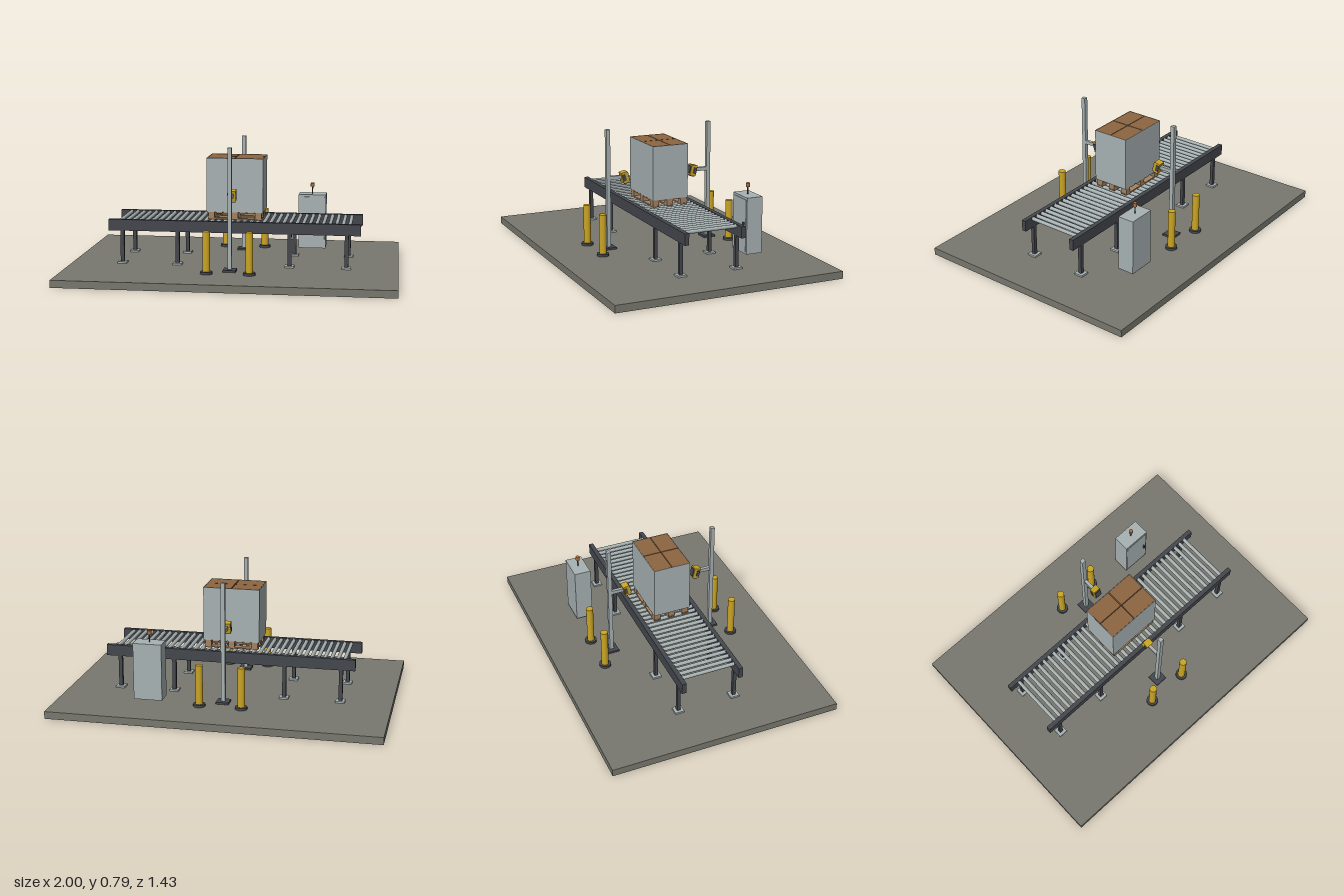
import * as THREE from 'three';

export function createModel() {
  const model = new THREE.Group();
  model.name = 'palletScanningStation';

  const mat = (name, color) => {
    const m = new THREE.MeshStandardMaterial({ color });
    m.name = name;
    return m;
  };
  const concrete = mat('concrete', 0x78786f);
  const lightGrey = mat('lightGrey', 0xa8b2b3);
  const darkGrey = mat('darkGrey', 0x44474d);
  const yellow = mat('yellow', 0xcba524);
  const cardboard = mat('cardboard', 0x8d6642);
  const wood = mat('wood', 0xa5825f);
  const beaconOrange = mat('beaconOrange', 0xa87048);

  const add = (parent, name, geometry, material, x, y, z) => {
    const mesh = new THREE.Mesh(geometry, material);
    mesh.name = name;
    mesh.position.set(x, y, z);
    parent.add(mesh);
    return mesh;
  };
  const box = (parent, name, material, w, h, d, x, y, z) =>
    add(parent, name, new THREE.BoxGeometry(w, h, d), material, x, y, z);
  const cyl = (parent, name, material, r, h, x, y, z, sides = 24) =>
    add(parent, name, new THREE.CylinderGeometry(r, r, h, sides), material, x, y, z);
  const group = (name, parent = model) => {
    const g = new THREE.Group();
    g.name = name;
    parent.add(g);
    return g;
  };

  const floorTop = 0.045;
  box(model, 'floorSlab', concrete, 2, floorTop, 1.43, 0, floorTop / 2, 0);

  // Conveyor: rails, legs with foot plates, and rollers
  const conveyor = group('conveyor');
  for (const s of [-1, 1]) {
    box(conveyor, 'sideRail', darkGrey, 1.546, 0.069, 0.027, 0, 0.283, s * 0.18);
    for (const x of [-0.688, -0.344, 0.344, 0.688]) {
      box(conveyor, 'leg', darkGrey, 0.023, 0.205, 0.021, x, 0.15, s * 0.18);
      box(conveyor, 'footPlate', lightGrey, 0.056, 0.011, 0.056, x, 0.0505, s * 0.18);
    }
  }
  const rollers = 36;
  for (let i = 0; i < rollers; i++) {
    const x = -0.705 + (1.41 * i) / (rollers - 1);
    cyl(conveyor, 'roller', lightGrey, 0.0115, 0.333, x, 0.3055, 0, 16).rotation.x = Math.PI / 2;
  }

  // Pallet: bottom runners, blocks and deck boards
  const pallet = group('pallet');
  for (const z of [-0.093, 0, 0.093]) {
    box(pallet, 'bottomRunner', wood, 0.333, 0.008, 0.04, 0, 0.322, z);
    for (const x of [-0.145, 0, 0.145]) {
      box(pallet, 'block', wood, 0.038, 0.03, 0.04, x, 0.341, z);
    }
  }
  for (let i = 0; i < 7; i++) {
    box(pallet, 'deckBoard', wood, 0.04, 0.008, 0.228, -0.146 + i * 0.0487, 0.36, 0);
  }

  // Wrapped load: four carton stacks inside a thin open-topped film
  const load = group('load');
  const loadY = 0.53, loadH = 0.333;
  for (const sx of [-1, 1]) {
    for (const sz of [-1, 1]) {
      box(load, 'cartonStack', cardboard, 0.168, loadH - 0.002, 0.111, sx * 0.0865, loadY, sz * 0.0575);
    }
  }
  box(load, 'cartonGap', darkGrey, 0.34, 0.3, 0.224, 0, 0.518, 0);
  for (const s of [-1, 1]) {
    box(load, 'filmSide', lightGrey, 0.002, loadH, 0.232, s * 0.173, loadY, 0);
    box(load, 'filmFace', lightGrey, 0.346, loadH, 0.002, 0, loadY, s * 0.115);
  }

  // Scanner masts on both sides, each with a tilted head facing the load
  for (const turn of [0, Math.PI]) {
    const mast = group('scannerMast');
    mast.rotation.y = turn;
    box(mast, 'mastBase', darkGrey, 0.078, 0.012, 0.078, 0, 0.051, 0.339);
    box(mast, 'mastPost', lightGrey, 0.025, 0.735, 0.025, 0, 0.421, 0.339);
    box(mast, 'mastArm', lightGrey, 0.02, 0.022, 0.085, 0, 0.488, 0.289);
    const head = group('scannerHead', mast);
    head.position.set(0, 0.487, 0.232);
    head.rotation.x = 0.23;
    box(head, 'headBody', yellow, 0.048, 0.066, 0.04, 0, 0, 0);
    box(head, 'headWindow', darkGrey, 0.038, 0.05, 0.006, 0, 0, -0.022);
    box(head, 'headUnderside', darkGrey, 0.04, 0.007, 0.028, 0, -0.0355, 0);
    for (const s of [-1, 1]) {
      box(head, 'headBracket', darkGrey, 0.004, 0.04, 0.02, s * 0.025, 0, 0.008);
    }
  }

  // Bollards
  for (const x of [-0.128, 0.128]) {
    for (const z of [-0.428, 0.428]) {
      const bollard = group('bollard');
      cyl(bollard, 'bollardBase', darkGrey, 0.036, 0.015, x, 0.0525, z, 32);
      cyl(bollard, 'bollardPost', yellow, 0.022, 0.245, x, 0.179, z, 32);
    }
  }

  // Control cabinet with door, handle and beacon
  const cabinet = group('controlCabinet');
  const cx = 0.443, cz = -0.387;
  box(cabinet, 'cabinetBody', lightGrey, 0.175, 0.349, 0.104, cx, 0.2385, cz);
  box(cabinet, 'cabinetDoor', lightGrey, 0.16, 0.322, 0.004, cx, 0.2385, cz + 0.054);
  box(cabinet, 'doorHandle', darkGrey, 0.008, 0.034, 0.01, 0.502, 0.243, cz + 0.061);
  cyl(cabinet, 'beaconStem', darkGrey, 0.004, 0.05, cx - 0.002, 0.437, cz, 12);
  cyl(cabinet, 'beacon', beaconOrange, 0.0125, 0.024, cx - 0.002, 0.471, cz, 20);

  return model;
}
